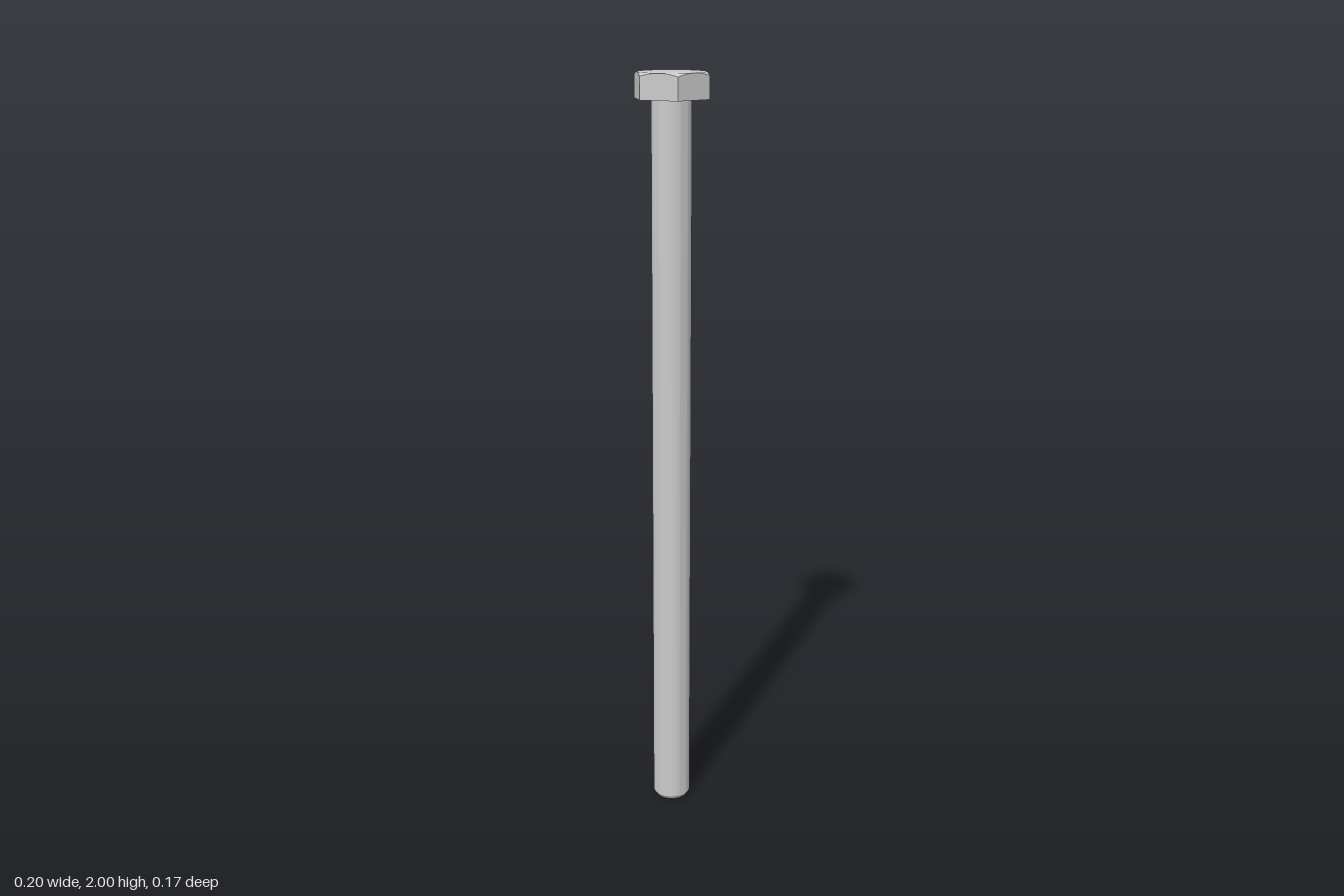
import * as THREE from 'three';
import { toCreasedNormals } from 'three/addons/utils/BufferGeometryUtils.js';

const SHAFT_R = 0.051, HEAD_BASE = 1.935, TOP = 2;
const APOTHEM = 0.0866, CHAMFER_R = 0.086;

const lathe = (points, segments) =>
  new THREE.LatheGeometry(points.map(([r, y]) => new THREE.Vector2(r, y)), segments);

// Hexagonal head: a lathe whose outer rings are pushed out to a hexagon,
// with the top corners cut by a 30 degree cone
function headGeometry() {
  const g = lathe([[0, HEAD_BASE], [1, HEAD_BASE], [1, TOP], [CHAMFER_R, TOP], [0, TOP]], 72);
  const p = g.attributes.position;
  const sector = Math.PI / 3;
  for (let i = 0; i < p.count; i++) {
    const x = p.getX(i), y = p.getY(i), z = p.getZ(i);
    if (Math.hypot(x, z) < 0.5) continue;
    const a = Math.atan2(x, z);
    const r = APOTHEM / Math.cos(a - Math.round(a / sector) * sector);
    const drop = y === TOP ? (r - CHAMFER_R) * Math.tan(Math.PI / 6) : 0;
    p.setXYZ(i, Math.sin(a) * r, y - drop, Math.cos(a) * r);
  }
  return toCreasedNormals(g, Math.PI / 9);
}

// Round shaft with a chamfered tip
function shaftGeometry() {
  const g = lathe([[0, 0], [SHAFT_R - 0.008, 0], [SHAFT_R, 0.012], [SHAFT_R, HEAD_BASE]], 64);
  return toCreasedNormals(g, Math.PI / 9);
}

export function createModel() {
  const bolt = new THREE.Group();
  bolt.name = 'hexBolt';
  const material = new THREE.MeshStandardMaterial({ color: 0xcccccc });
  const parts = { head: headGeometry(), shaft: shaftGeometry() };
  for (const [name, geometry] of Object.entries(parts)) {
    const mesh = new THREE.Mesh(geometry, material);
    mesh.name = name;
    bolt.add(mesh);
  }
  return bolt;
}
